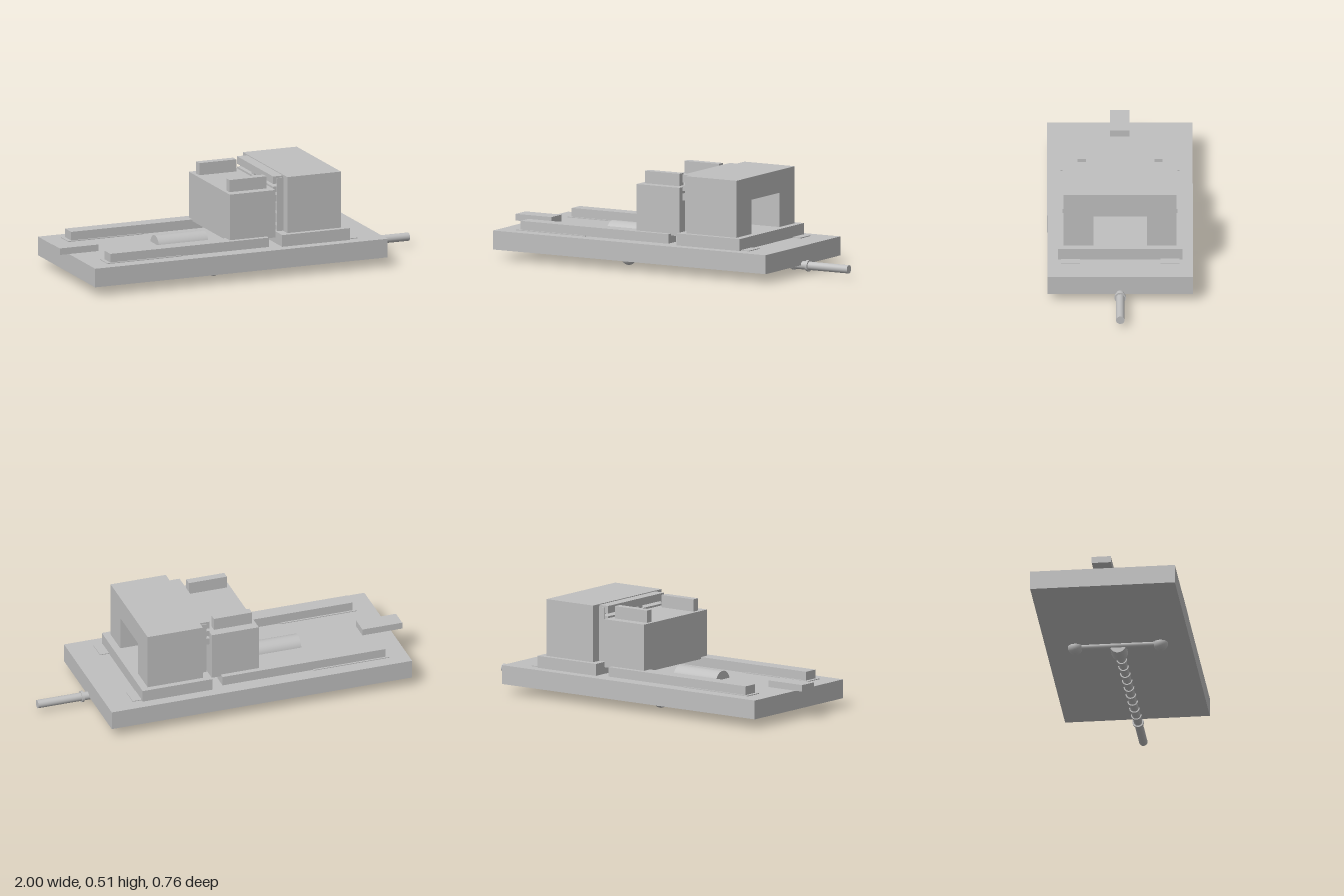
import * as THREE from 'three';

export function createModel() {
  const model = new THREE.Group();
  const grey = new THREE.MeshStandardMaterial({ color: 0xbfbfbf });
  grey.name = 'light grey metal';

  const add = (name, geometry) => {
    const mesh = new THREE.Mesh(geometry, grey);
    mesh.name = name;
    model.add(mesh);
    return mesh;
  };
  // box given by its extents
  const box = (name, x0, x1, y0, y1, z0, z1) =>
    add(name, new THREE.BoxGeometry(x1 - x0, y1 - y0, z1 - z0)
      .translate((x0 + x1) / 2, (y0 + y1) / 2, (z0 + z1) / 2));
  // cylinder lying along x
  const rodX = (name, x0, x1, y, r) =>
    add(name, new THREE.CylinderGeometry(r, r, x1 - x0, 32)
      .rotateZ(Math.PI / 2).translate((x0 + x1) / 2, y, 0));

  // Bed
  box('bedPlate', -0.94, 0.72, 0.05, 0.15, -0.38, 0.38);
  box('endTongue', -1, -0.78, 0.155, 0.19, -0.05, 0.05);
  rodX('bedRoundBar', -0.44, -0.16, 0.135, 0.06);

  // Guide rails and their thin pads
  for (const s of [-1, 1]) {
    const z0 = Math.min(s * 0.22, s * 0.3), z1 = z0 + 0.08;
    box('guideRail', -0.82, 0.08, 0.15, 0.2, z0, z1);
    box('railPad', -0.84, -0.42, 0.15, 0.154, z0 - 0.01, z1 + 0.01);
    box('flangePad', 0.4, 0.58, 0.15, 0.154, z0 - 0.01, z1 + 0.01);
  }

  // Moving jaw with two top ribs
  box('movingJaw', -0.13, 0.13, 0.19, 0.445, -0.272, 0.272);
  for (const z of [-0.2, 0.2])
    box('jawTopRib', -0.11, 0.1, 0.445, 0.51, z - 0.021, z + 0.021);

  // Fixed jaw: an arched block on a flange
  box('fixedJawFlange', 0.145, 0.53, 0.15, 0.213, -0.325, 0.325);
  const arch = new THREE.Shape([
    [-0.295, 0.213], [-0.14, 0.213], [-0.14, 0.394], [0.14, 0.394],
    [0.14, 0.213], [0.295, 0.213], [0.295, 0.514], [-0.295, 0.514],
  ].map(([x, y]) => new THREE.Vector2(x, y)));
  add('fixedJawBlock', new THREE.ExtrudeGeometry(arch, { depth: 0.305, bevelEnabled: false })
    .rotateY(Math.PI / 2).translate(0.187, 0, 0));

  // Grooved jaw insert: horizontal slats, two uprights and a round boss
  const slats = [[0.215, 0.238], [0.262, 0.302], [0.318, 0.36], [0.375, 0.41],
    [0.425, 0.455], [0.47, 0.51]];
  for (const [y0, y1] of slats) {
    const upper = y0 > 0.35;
    box('jawSlat', upper ? 0.13 : 0.16, 0.187, y0, y1, -0.24, 0.24);
  }
  for (const z of [-0.052, 0.052])
    box('jawUpright', 0.14, 0.187, 0.215, 0.5, z - 0.016, z + 0.016);
  for (const z of [-0.2425, 0.2425])
    box('jawEndUpright', 0.15, 0.187, 0.215, 0.5, z - 0.0025, z + 0.0025);
  rodX('roundBoss', 0.135, 0.195, 0.283, 0.062);

  // Lead screw with collar and thread rings
  rodX('leadScrew', -0.15, 1, 0.048, 0.022);
  rodX('screwCollar', 0.747, 0.76, 0.048, 0.03);
  for (let i = 0; i < 9; i++) {
    const x = -0.025 + i * 0.0865;
    rodX('threadRing', x - 0.006, x + 0.006, 0.048, 0.028);
  }

  // Handle hub, crossbar and ball ends
  rodX('handleHub', -0.215, -0.11, 0.045, 0.043);
  add('handleBar', new THREE.CylinderGeometry(0.018, 0.018, 0.44, 24)
    .rotateX(Math.PI / 2).translate(-0.205, 0.045, 0));
  for (const z of [-0.224, 0.224])
    add('handleBall', new THREE.SphereGeometry(0.039, 32, 20).translate(-0.205, 0.045, z));

  return model;
}
